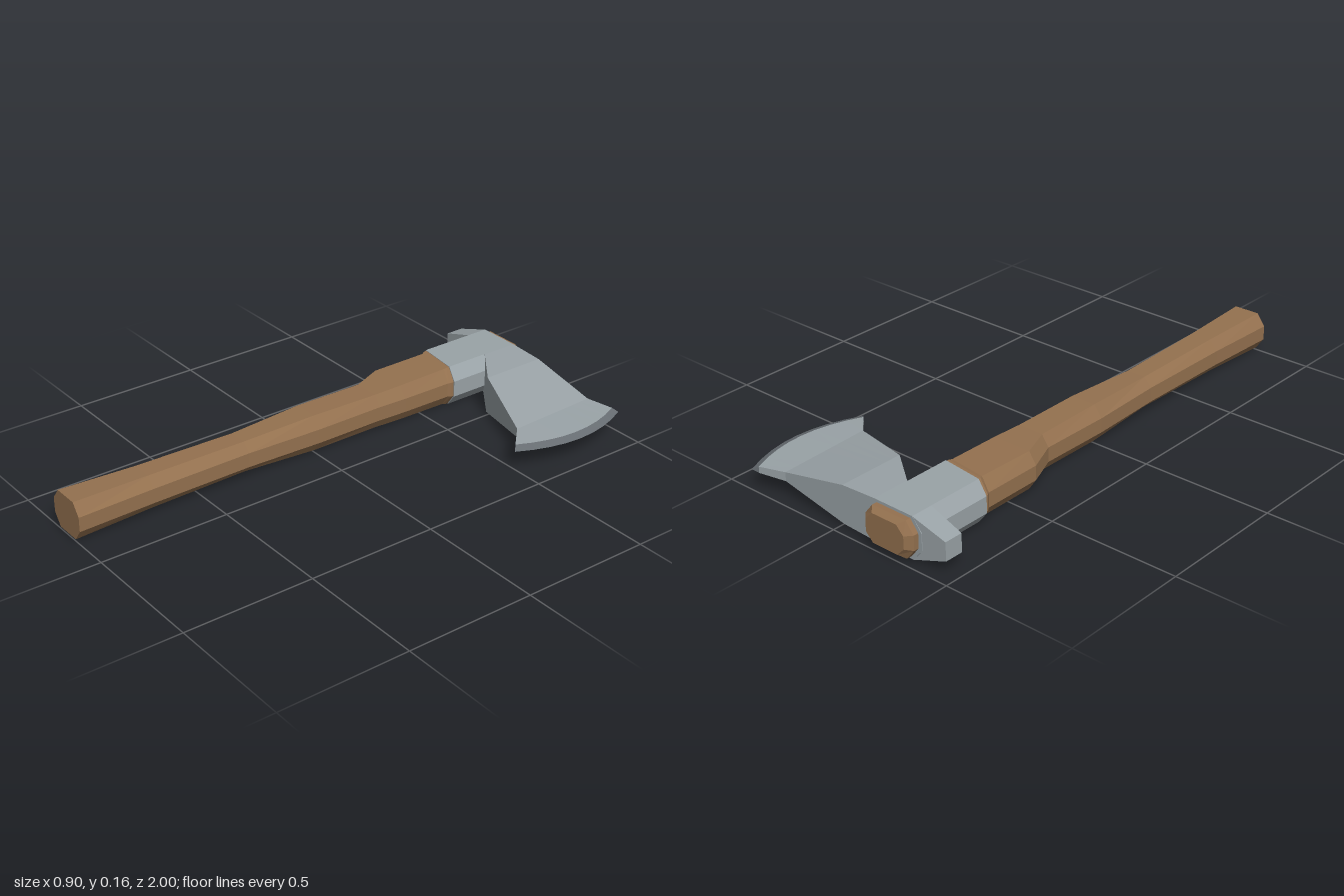
import * as THREE from 'three';

const MID = 0.08; // height of the axe's central plane

function material(name, color) {
  const m = new THREE.MeshStandardMaterial({ color, flatShading: true });
  m.name = name;
  return m;
}

// Skin a series of equal-length point loops, with optional end caps
function loft(name, rings, mat, capStart, capEnd) {
  const n = rings[0].length;
  const last = (rings.length - 1) * n;
  const index = [];
  for (let r = 0; r < rings.length - 1; r++) {
    for (let i = 0; i < n; i++) {
      const a = r * n + i, b = r * n + (i + 1) % n;
      index.push(a, a + n, b + n, a, b + n, b);
    }
  }
  for (let i = 1; i < n - 1; i++) {
    if (capStart) index.push(0, i, i + 1);
    if (capEnd) index.push(last, last + i + 1, last + i);
  }
  const indexed = new THREE.BufferGeometry();
  indexed.setAttribute('position', new THREE.Float32BufferAttribute(rings.flat(2), 3));
  indexed.setIndex(index);
  const geometry = indexed.toNonIndexed();
  geometry.computeVertexNormals();
  const mesh = new THREE.Mesh(geometry, mat);
  mesh.name = name;
  return mesh;
}

// Chamfered rectangle across the handle; slant tilts it along z
function octagon(z, x0, x1, hy, cut = 0.033, side = 0.028, slant = 0) {
  return [
    [x1, -side], [x1, side], [x1 - cut, hy], [x0 + cut, hy],
    [x0, side], [x0, -side], [x0 + cut, -hy], [x1 - cut, -hy],
  ].map(([x, y]) => [x, MID + y, z + slant * (x + 0.24)]);
}

// Flat cross-section of the blade, bowed forward in x by bulge
function bladeSection(x0, x1, z0, z1, hy, bulge = 0, steps = 8) {
  const row = (y) => Array.from({ length: steps + 1 }, (_, i) => {
    const t = i / steps;
    return [x0 + (x1 - x0) * t + bulge * 4 * t * (1 - t), MID + y, z0 + (z1 - z0) * t];
  });
  return [...row(-hy), ...row(hy).reverse()];
}

export function createModel() {
  const wood = material('wood', 0x94714f);
  const steel = material('steel', 0x9aa3a7);
  const darkSteel = material('dark steel', 0x676d72);
  const axe = new THREE.Group();
  axe.name = 'axe';

  // Handle, from the butt up to the head
  axe.add(loft('handle', [
    octagon(1, -0.3, -0.132, 0.073),
    octagon(0.7, -0.29, -0.141, 0.066),
    octagon(0.3, -0.288, -0.146, 0.061),
    octagon(0, -0.3, -0.135, 0.072),
    octagon(-0.28, -0.296, -0.137, 0.069, 0.028),
    octagon(-0.4, -0.345, -0.132, 0.072, 0.03),
    octagon(-0.62, -0.345, -0.13, 0.075, 0.033, 0.028, 0.125),
    octagon(-0.634, -0.355, -0.124, 0.078, 0.036, 0.03, 0.125),
    octagon(-0.66, -0.355, -0.124, 0.078, 0.036, 0.03, 0.125),
  ], wood, true, true));

  // Handle end poking out behind the head
  axe.add(loft('handleTip', [
    octagon(-0.94, -0.346, -0.133, 0.07),
    octagon(-0.98, -0.346, -0.133, 0.07),
    octagon(-1, -0.32, -0.153, 0.055, 0.03, 0.024),
  ], wood, true, true));

  // Socket around the handle
  axe.add(loft('socket', [
    octagon(-0.645, -0.36, -0.12, 0.08, 0.038, 0.032, 0.125),
    octagon(-0.96, -0.36, -0.12, 0.08, 0.038, 0.032),
  ], steel, true, true));

  // Poll and blade in one tapering body
  const bevelStart = bladeSection(0.367, 0.357, -0.987, -0.512, 0.012, 0.058);
  axe.add(loft('blade', [
    bladeSection(-0.455, -0.455, -0.952, -0.88, 0.035),
    bladeSection(-0.32, -0.32, -0.96, -0.874, 0.08),
    bladeSection(-0.155, -0.155, -0.96, -0.812, 0.08),
    bladeSection(-0.01, -0.01, -0.96, -0.7, 0.073),
    bladeSection(0.265, 0.28, -0.96, -0.59, 0.017),
    bevelStart,
  ], steel, true, false));

  // Ground cutting edge
  axe.add(loft('cuttingEdge', [
    bevelStart,
    bladeSection(0.388, 0.38, -1, -0.49, 0, 0.066),
  ], darkSteel, false, false));

  return axe;
}
